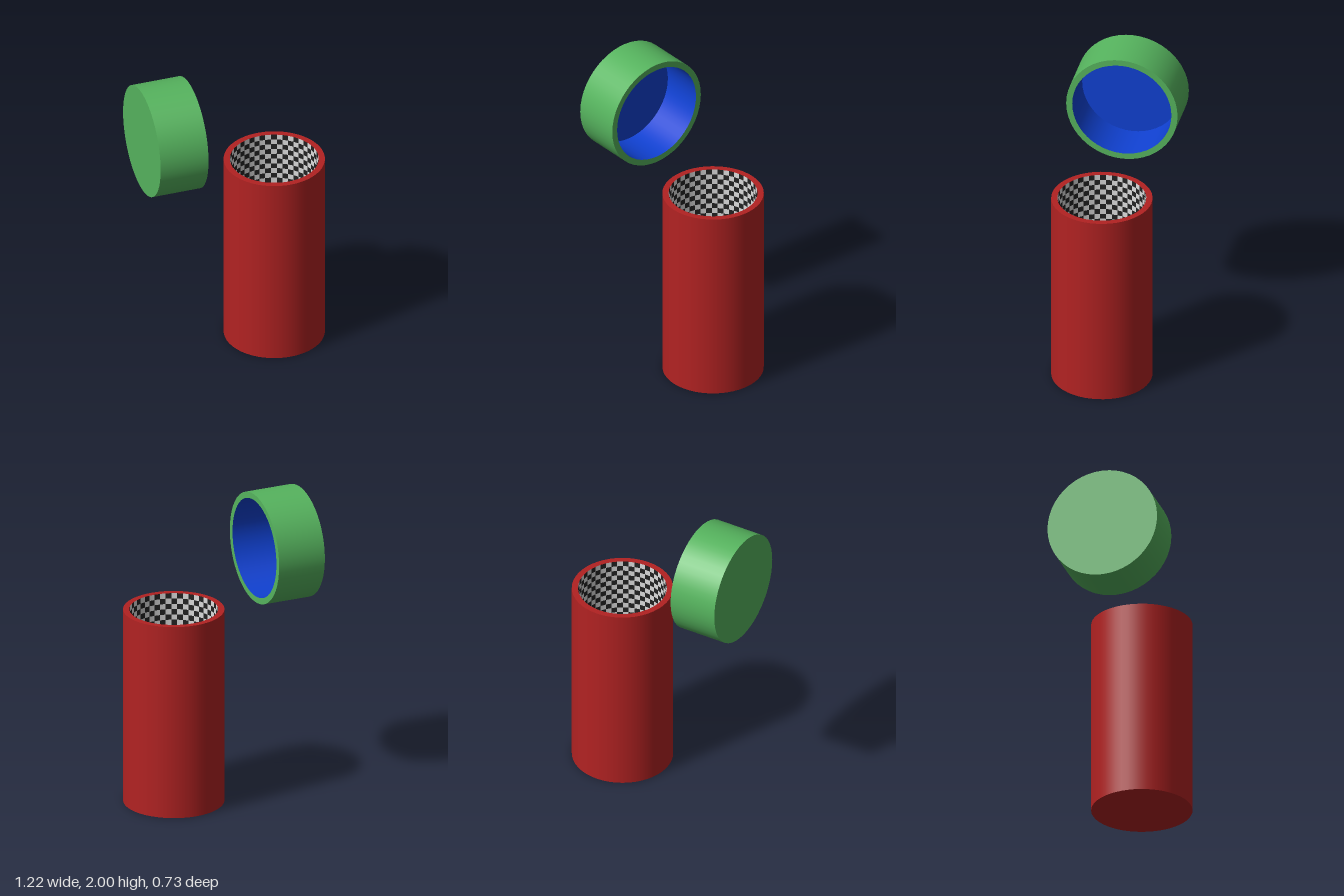
import * as THREE from 'three';
import { mergeGeometries } from 'three/addons/utils/BufferGeometryUtils.js';

const SIDES = 48;
const WALL = 0.04;

const paint = (name, color) => {
  const m = new THREE.MeshStandardMaterial({ color });
  m.name = name;
  return m;
};

const addMesh = (parent, name, geometry, material) => {
  const mesh = new THREE.Mesh(geometry, material);
  mesh.name = name;
  parent.add(mesh);
  return mesh;
};

// Turned surface with a sharp edge at each profile point
function turned(points) {
  const v = points.map(([x, y]) => new THREE.Vector2(x, y));
  return mergeGeometries(v.slice(1).map((p, i) => new THREE.LatheGeometry([v[i], p], SIDES)));
}

// Every other cell of a cylindrical inner wall
function checkedWall(r, bottom, top, rows, parity) {
  const pts = [];
  for (let j = 0; j <= rows; j++) pts.push(new THREE.Vector2(r, top + (bottom - top) * j / rows));
  const geo = new THREE.LatheGeometry(pts, SIDES);
  const all = Array.from(geo.index.array);
  geo.setIndex(all.filter((_, n) => {
    const cell = Math.floor(n / 6);
    return (Math.floor(cell / rows) + cell % rows) % 2 === parity;
  }));
  return geo;
}

// Dark squares of the floor, with corners pulled in to the circle
function checkedFloor(r, cells) {
  const shapes = [];
  const s = 2 * r / cells;
  const limit = r * 0.995;
  for (let i = 0; i < cells; i++) {
    for (let j = 0; j < cells; j++) {
      const x = -r + i * s, y = -r + j * s;
      if ((i + j) % 2 || Math.hypot(x + s / 2, y + s / 2) > limit) continue;
      shapes.push(new THREE.Shape([[x, y], [x + s, y], [x + s, y + s], [x, y + s]].map(([a, b]) =>
        new THREE.Vector2(a, b).clampLength(0, limit))));
    }
  }
  return new THREE.ShapeGeometry(shapes).rotateX(-Math.PI / 2);
}

export function createModel() {
  const model = new THREE.Group();
  model.name = 'openCanister';
  const red = paint('red', 0xb22222);
  const green = paint('green', 0x56b45e);
  const blue = paint('blue', 0x1041d2);
  const light = paint('lightGrey', 0xdcdcdc);
  const dark = paint('charcoal', 0x222222);

  // Body: red shell with a checked lining
  const body = new THREE.Group();
  body.name = 'body';
  body.position.x = 0.286;
  model.add(body);
  const R = 0.325, r = R - WALL, H = 1.31;
  addMesh(body, 'bodyShell', turned([[0, 0], [R, 0], [R, H], [r, H]]), red);
  addMesh(body, 'liningLightChecks', checkedWall(r, WALL, H, 35, 0), light);
  addMesh(body, 'liningDarkChecks', checkedWall(r, WALL, H, 35, 1), dark);
  addMesh(body, 'floor', turned([[r, WALL], [0, WALL]]), light);
  addMesh(body, 'floorDarkChecks', checkedFloor(r, 16), dark).position.y = WALL + 0.003;

  // Lid: lying on its side, open towards the body
  const lid = new THREE.Group();
  lid.name = 'lid';
  lid.position.set(-0.612, 1.634, 0);
  lid.rotation.z = -Math.PI / 2;
  model.add(lid);
  const L = 0.366, l = L - WALL, D = 0.325;
  addMesh(lid, 'lidShell', turned([[0, 0], [L, 0], [L, D], [l, D]]), green);
  addMesh(lid, 'lidLining', turned([[l, D], [l, WALL], [0, WALL]]), blue);

  return model;
}
